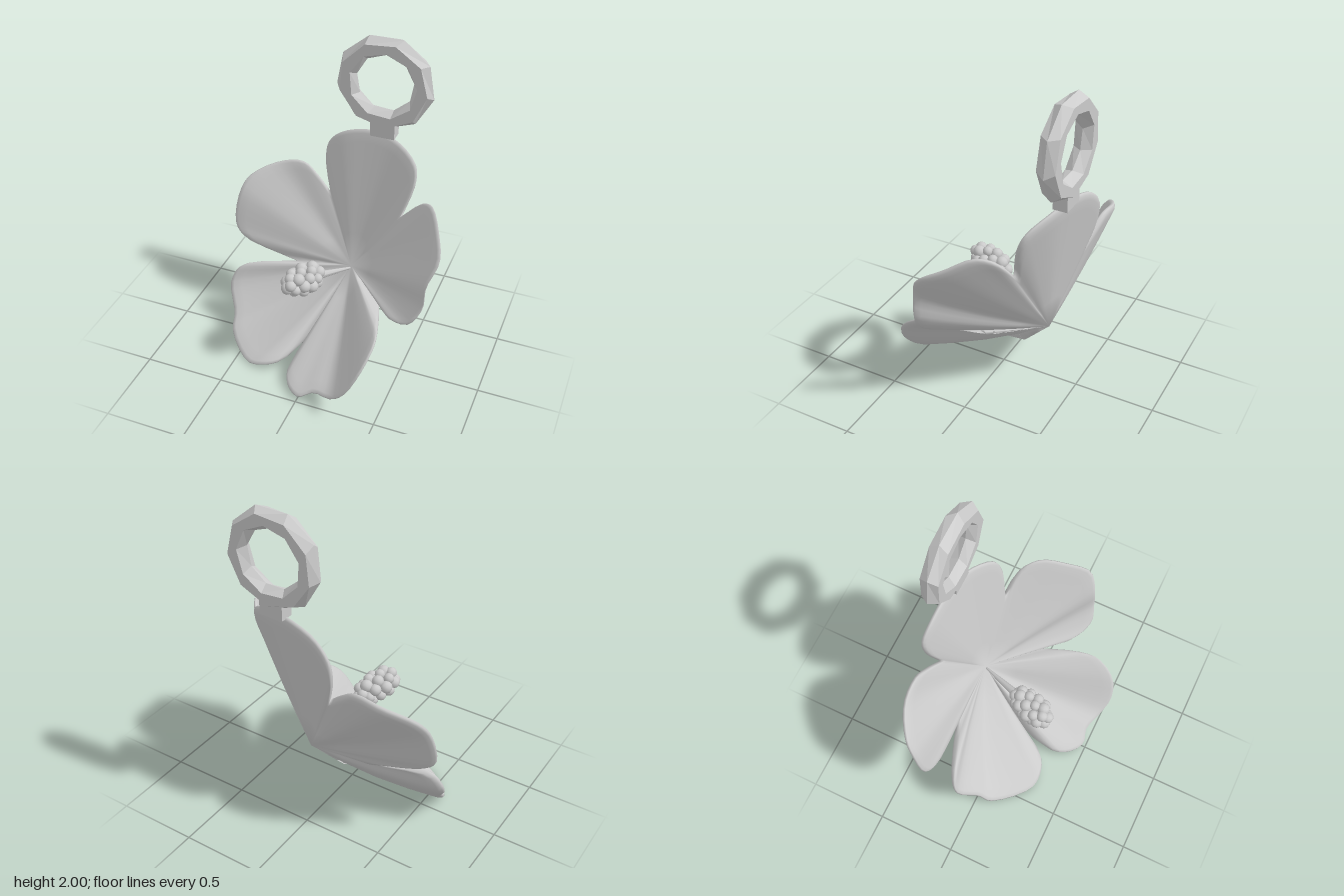
import * as THREE from 'three';
import { mergeVertices } from 'three/addons/utils/BufferGeometryUtils.js';

const V = (x, y, z) => new THREE.Vector3(x, y, z);

// Rim of each petal from notch to notch, counterclockwise; bulge pushes its belly backwards
const PETALS = [
  { bulge: 0.03, rim: [[0.33, 0.47, -0.05], [0.46, 0.53, 0.15], [0.6, 0.6, 0.23], [0.67, 0.72, 0.21], [0.68, 0.87, 0.2],
    [0.73, 1.02, 0.14], [0.68, 1.1, 0], [0.6, 1.17, -0.14], [0.52, 1.13, -0.22], [0.38, 0.97, -0.27]] },
  { bulge: 0, rim: [[0.38, 0.97, -0.27], [0.44, 1.2, -0.32], [0.42, 1.29, -0.36], [0.28, 1.37, -0.44], [0.12, 1.39, -0.48],
    [-0.08, 1.33, -0.5], [-0.18, 1.23, -0.51], [-0.19, 1.1, -0.49], [-0.14, 0.91, -0.44]] },
  { bulge: 0.01, rim: [[-0.14, 0.91, -0.44], [-0.24, 1.0, -0.47], [-0.34, 1.06, -0.49], [-0.5, 1.03, -0.48], [-0.67, 0.94, -0.39],
    [-0.72, 0.84, -0.33], [-0.73, 0.63, -0.27], [-0.66, 0.55, -0.25], [-0.31, 0.44, -0.27]] },
  { bulge: 0.03, rim: [[-0.31, 0.44, -0.27], [-0.64, 0.4, -0.14], [-0.7, 0.28, -0.09], [-0.63, 0.13, 0.02], [-0.61, 0.05, 0.1],
    [-0.42, 0.01, 0.29], [-0.32, 0.03, 0.31], [-0.2, 0.06, 0.26], [-0.03, 0.2, -0.11]] },
  { bulge: 0.03, rim: [[-0.03, 0.2, -0.11], [-0.13, 0.06, 0.31], [-0.08, 0.03, 0.42], [0.01, 0.03, 0.48], [0.1, 0.08, 0.46],
    [0.22, 0.11, 0.5], [0.32, 0.21, 0.53], [0.4, 0.36, 0.49], [0.44, 0.48, 0.36], [0.42, 0.51, 0.24], [0.33, 0.47, -0.05]] },
];

// Five petals as one closed skin: rings run out over the front, round the rim and back behind
function petalGeometry() {
  const center = V(0.07, 0.48, -0.3), thick = V(0, 0.66, 0.75);
  const steps = 28, rim = [];
  for (const { rim: pts, bulge } of PETALS) {
    const curve = new THREE.CatmullRomCurve3(pts.map(p => V(...p)));
    for (let i = 0; i < steps; i++) {
      rim.push({ p: curve.getPoint(i / steps), b: bulge * Math.sin(Math.PI * i / steps) });
    }
  }
  const front = [0, 0.25, 0.5, 0.75, 0.9, 0.965].map(t => [t, 0.055 - 0.035 * t]);
  const back = front.map(([t, h]) => [t, -h]).reverse();
  const rings = [...front, [0.992, 0.012], [1, 0], [0.992, -0.012], ...back];
  const pos = [], index = [], n = rim.length;
  for (const [t, h] of rings) {
    for (const { p, b } of rim) {
      const q = center.clone().lerp(p, t).addScaledVector(thick, h - b * Math.sin(Math.PI * t));
      pos.push(q.x, q.y, q.z);
    }
  }
  for (let r = 0; r < rings.length - 1; r++) {
    for (let j = 0; j < n; j++) {
      const a = r * n + j, b = r * n + (j + 1) % n;
      if (r < rings.length - 2) index.push(a, a + n, b + n);
      if (r > 0) index.push(a, b + n, b);
    }
  }
  const geo = new THREE.BufferGeometry();
  geo.setAttribute('position', new THREE.Float32BufferAttribute(pos, 3));
  geo.setIndex(index);
  const welded = mergeVertices(geo, 1e-5);
  welded.computeVertexNormals();
  return welded;
}

// Faceted hanging ring, its inner edge turned half a step against the outer
function ringGeometry() {
  const sides = 9, geo = new THREE.TorusGeometry(0.237, 0.062, 6, sides);
  const p = geo.attributes.position;
  for (let i = 0; i < p.count; i++) {
    const r = Math.hypot(p.getX(i), p.getY(i));
    const inner = (0.299 - r) / 0.124;
    const a = Math.atan2(p.getY(i), p.getX(i)) + Math.PI / 2 + inner * Math.PI / sides;
    p.setXY(i, r * Math.cos(a) , -r * Math.sin(a));
    p.setX(i, -p.getX(i));
    p.setXY(i, -p.getX(i), -p.getY(i));
  }
  // a vertex points down, so the top edge lies flat
  geo.rotateZ(Math.PI);
  return geo;
}

export function createModel() {
  const group = new THREE.Group();
  const smooth = new THREE.MeshStandardMaterial({ color: 0xcccccc });
  const faceted = new THREE.MeshStandardMaterial({ color: 0xcccccc, flatShading: true });
  const add = (name, geo, mat, parent = group) => {
    const mesh = new THREE.Mesh(geo, mat);
    mesh.name = name;
    parent.add(mesh);
    return mesh;
  };

  add('petals', petalGeometry(), smooth);

  // Hanging ring and its neck
  add('hangingRing', ringGeometry(), faceted).position.set(0.18, 1.72, -0.47);
  add('ringNeck', new THREE.BoxGeometry(0.15, 0.12, 0.085), faceted).position.set(0.185, 1.44, -0.47);

  // Stamen: thin tapered stalk ending in a cluster of pollen beads
  const root = V(0.07, 0.5, -0.26), heart = V(-0.09, 0.655, 0.135);
  const up = V(0, 1, 0), along = heart.clone().sub(root);
  const stalk = add('stamenStalk', new THREE.CylinderGeometry(0.035, 0.006, along.length(), 8), smooth);
  stalk.position.copy(root).lerp(heart, 0.5);
  stalk.quaternion.setFromUnitVectors(up, along.clone().normalize());

  const cluster = new THREE.Group();
  cluster.name = 'pollenCluster';
  cluster.position.copy(heart);
  cluster.quaternion.setFromUnitVectors(up, V(-0.33, 0.2, 0.92).normalize());
  group.add(cluster);
  const bead = new THREE.IcosahedronGeometry(1, 1), count = 30;
  for (let i = 0; i < count; i++) {
    const h = 1 - 2 * (i + 0.5) / count, r = Math.sqrt(1 - h * h) * 0.066, a = i * 2.39996;
    const m = add('pollenBead', bead, smooth, cluster);
    m.position.set(r * Math.cos(a), h * 0.135, r * Math.sin(a));
    m.scale.setScalar(0.036 + 0.004 * Math.sin(i * 1.7));
  }
  return group;
}
